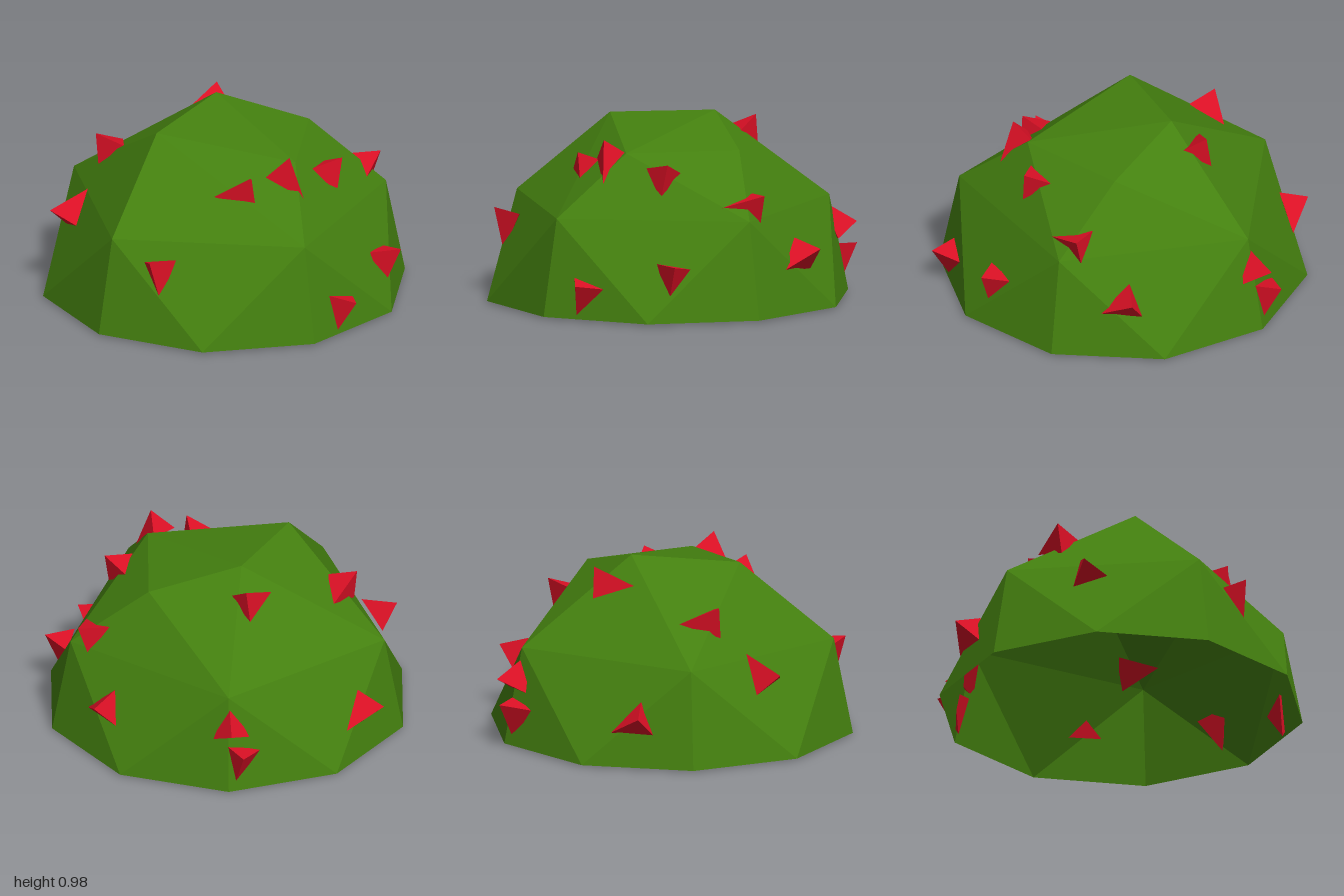
import * as THREE from 'three';
import { ConvexGeometry } from 'three/addons/geometries/ConvexGeometry.js';

const V = (x, y, z) => new THREE.Vector3(x, y, z);
const CENTRE = V(-0.03, 0, -0.022);

// Faceted dome: ten-sided rim, five shoulder points, four uneven crown points; open underneath
function domeGeometry() {
  const ring = (n, r, y) => Array.from({ length: n }, (_, i) => {
    const a = Math.PI / 2 + (i / n) * Math.PI * 2;
    return V(CENTRE.x + r * Math.cos(a), y, CENTRE.z + r * Math.sin(a));
  });
  const crown = [
    V(0.07, 0.975, -0.285), V(-0.44, 0.94, -0.02), V(0.485, 0.835, -0.02), V(0.125, 0.837, 0.475),
  ];
  const hull = new ConvexGeometry([...ring(10, 0.978, 0), ...ring(5, 0.875, 0.515), ...crown]);
  const p = hull.attributes.position;
  const kept = [];
  for (let i = 0; i < p.count; i += 3) {
    if (p.getY(i) + p.getY(i + 1) + p.getY(i + 2) < 0.001) continue; // leave the base open
    for (let j = i; j < i + 3; j++) kept.push(p.getX(j), p.getY(j), p.getZ(j));
  }
  const geometry = new THREE.BufferGeometry();
  geometry.setAttribute('position', new THREE.Float32BufferAttribute(kept, 3));
  geometry.computeVertexNormals();
  return geometry;
}

// Thorns: middle of each, then the point its long corner reaches towards
const THORNS = [
  [V(0.18, 0.13, 0.89), V(0.15, 0.01, 0.92)],
  [V(0.33, 0.74, 0.43), V(0.22, 0.82, 0.48)],
  [V(-0.72, 0.37, 0.48), V(-0.73, 0.24, 0.52)],
  [V(-0.2, 0.735, 0.46), V(-0.34, 0.7, 0.39)],
  [V(0.05, 0.8, 0.54), V(0.11, 0.7, 0.68)],
  [V(0.73, 0.59, 0.18), V(0.68, 0.6, 0.31)],
  [V(0.59, 0.23, 0.62), V(0.6, 0.11, 0.66)],
  [V(0.86, 0.29, -0.1), V(0.92, 0.26, 0.01)],
  [V(0.12, 0.86, -0.44), V(-0.02, 0.88, -0.44)],
  [V(0.5, 0.37, -0.77), V(0.5, 0.48, -0.76)],
  [V(0.48, 0.17, -0.83), V(0.5, 0.06, -0.82)],
  [V(-0.78, 0.45, -0.35), V(-0.72, 0.58, -0.38)],
  [V(-0.48, 0.73, -0.45), V(-0.35, 0.7, -0.53)],
  [V(-0.29, 0.24, -0.9), V(-0.17, 0.18, -0.91)],
];

export function createModel() {
  const group = new THREE.Group();
  const green = new THREE.MeshStandardMaterial({ color: 0x44800f, flatShading: true, side: THREE.DoubleSide });
  const red = new THREE.MeshStandardMaterial({ color: 0xdc1025, flatShading: true });

  const dome = new THREE.Mesh(domeGeometry(), green);
  dome.name = 'dome';
  group.add(dome);

  // One lopsided three-sided spike, long corner along +x, tip along +y
  const spike = new ConvexGeometry([
    V(0.14, -0.04, 0), V(-0.07, -0.04, 0.095), V(-0.07, -0.04, -0.095), V(-0.05, 0.1, 0),
  ]);
  const thorns = new THREE.Group();
  thorns.name = 'thorns';
  for (const [middle, toe] of THORNS) {
    const out = middle.clone().sub(CENTRE).normalize();
    const along = toe.clone().sub(middle).projectOnPlane(out).normalize();
    const across = along.clone().cross(out);
    const thorn = new THREE.Mesh(spike, red);
    thorn.name = 'thorn';
    thorn.quaternion.setFromRotationMatrix(new THREE.Matrix4().makeBasis(along, out, across));
    thorn.position.copy(middle);
    thorns.add(thorn);
  }
  group.add(thorns);
  return group;
}
